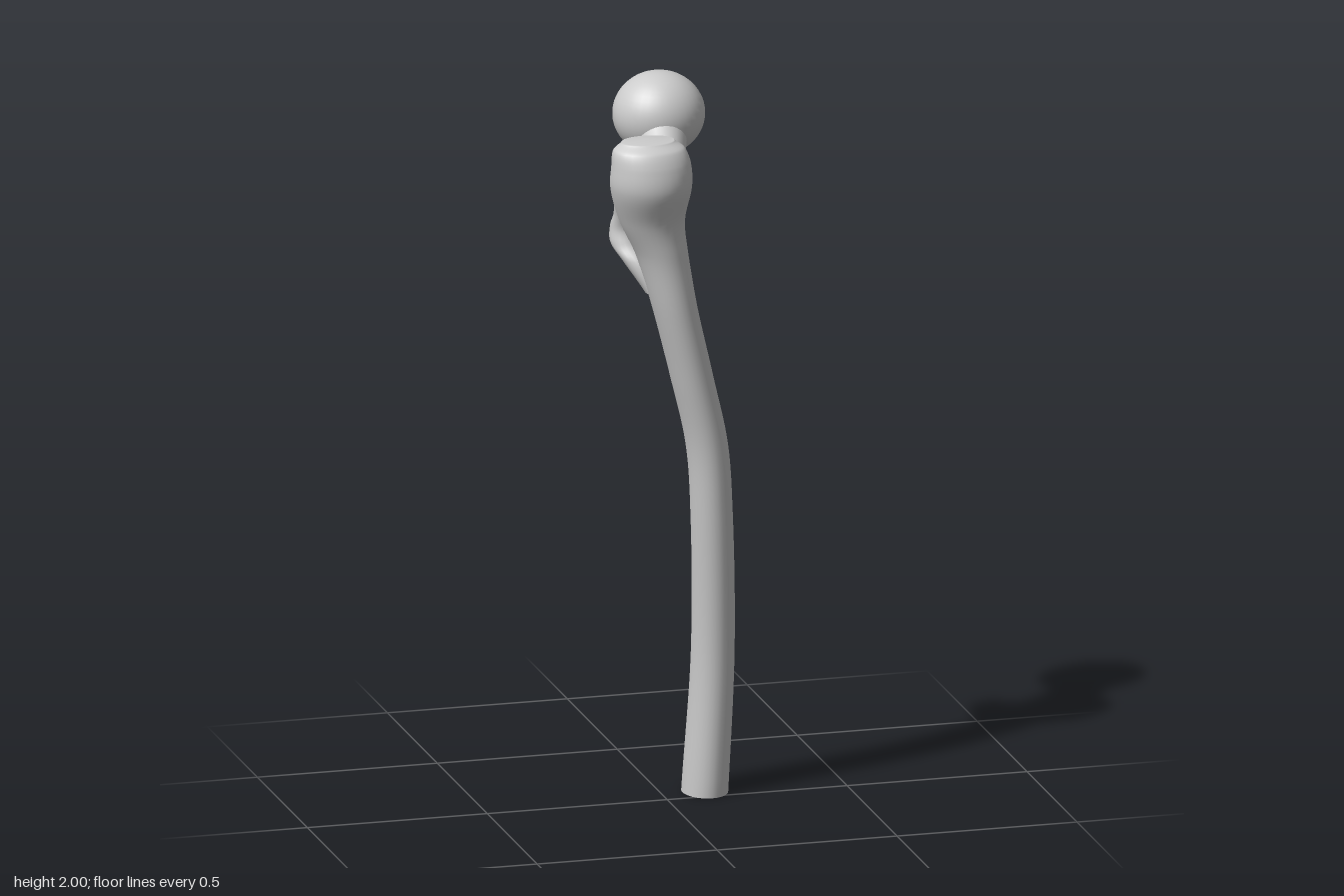
import * as THREE from 'three';

const bone = new THREE.MeshStandardMaterial({ color: 0xcccccc });

// Smooth closed body through elliptical rings, listed from bottom to top.
// Row: [x, y, z, radiusX, radiusZ, tilt] - tilt leans the ring up towards the front.
function loft(name, rows, steps, sides = 28) {
  const track = (i, j, k) => new THREE.CatmullRomCurve3(
    rows.map(r => new THREE.Vector3(r[i] ?? 0, r[j] ?? 0, r[k] ?? 0)), false, 'centripetal');
  const spine = track(0, 1, 2);
  const pos = [], index = [];
  const ring = (t) => {
    // interpolate radii linearly with smoothing inside each span, in step with the spine
    const f = t * (rows.length - 1), i = Math.min(Math.floor(f), rows.length - 2), w = f - i;
    const mix = k => {
      const at = n => rows[Math.max(0, Math.min(rows.length - 1, n))][k] ?? 0;
      const a = at(i), b = at(i + 1), ma = (b - at(i - 1)) / 2, mb = (at(i + 2) - a) / 2;
      const w2 = w * w, w3 = w2 * w;
      return (2 * w3 - 3 * w2 + 1) * a + (w3 - 2 * w2 + w) * ma + (3 * w2 - 2 * w3) * b + (w3 - w2) * mb;
    };
    const c = spine.getPoint(t), rx = mix(3), rz = mix(4), tilt = mix(5);
    for (let s = 0; s < sides; s++) {
      const a = s / sides * Math.PI * 2, d = Math.sin(a) * rz;
      pos.push(c.x + Math.cos(a) * rx, c.y + d * Math.sin(tilt), c.z + d * Math.cos(tilt));
    }
    return c;
  };
  for (let n = 0; n <= steps; n++) ring(n / steps);
  for (let n = 0; n < steps; n++) for (let s = 0; s < sides; s++) {
    const a = n * sides + s, b = n * sides + (s + 1) % sides;
    index.push(a, a + sides, b, b, a + sides, b + sides);
  }
  // rounded top: shares its rim with the wall
  const top = spine.getPoint(1), tip = pos.length / 3, rim = steps * sides;
  pos.push(top.x, top.y + 0.004, top.z);
  for (let s = 0; s < sides; s++) index.push(rim + s, tip, rim + (s + 1) % sides);
  // flat bottom: own rim, so the cut edge stays sharp
  const base = pos.length / 3, foot = ring(0), mid = pos.length / 3;
  pos.push(foot.x, foot.y, foot.z);
  for (let s = 0; s < sides; s++) index.push(base + s, base + (s + 1) % sides, mid);

  const g = new THREE.BufferGeometry();
  g.setAttribute('position', new THREE.Float32BufferAttribute(pos, 3));
  g.setIndex(index);
  g.computeVertexNormals();
  const mesh = new THREE.Mesh(g, bone);
  mesh.name = name;
  return mesh;
}

export function createModel() {
  const model = new THREE.Group();
  model.name = 'thighBone';

  // Curved shaft swelling into the large outer knob
  model.add(loft('shaftAndGreaterKnob', [
    [0.12, 0, -0.057, 0.062, 0.078],
    [0.132, 0.4, -0.02, 0.058, 0.07],
    [0.115, 0.8, 0.03, 0.056, 0.07],
    [0.096, 1.0, 0.05, 0.056, 0.072],
    [0.048, 1.2, 0.07, 0.057, 0.075],
    [-0.004, 1.4, 0.09, 0.06, 0.075],
    [-0.04, 1.55, 0.093, 0.07, 0.08],
    [-0.07, 1.65, 0.103, 0.088, 0.085],
    [-0.08, 1.75, 0.128, 0.11, 0.1],
    [-0.083, 1.82, 0.138, 0.108, 0.086],
    [-0.088, 1.86, 0.135, 0.098, 0.072],
    [-0.09, 1.882, 0.13, 0.072, 0.048],
  ], 88));

  // Neck leaning back from the knob to the ball
  model.add(loft('neck', [
    [-0.04, 1.58, 0.075, 0.06, 0.07, 0.2],
    [-0.035, 1.67, 0.06, 0.066, 0.088, 0.5],
    [-0.025, 1.74, 0.035, 0.066, 0.09, 0.75],
    [-0.015, 1.79, 0.002, 0.065, 0.075, 0.8],
    [-0.003, 1.83, -0.045, 0.07, 0.075, 0.8],
    [0.005, 1.865, -0.085, 0.08, 0.08, 0.8],
  ], 30));

  // Small rear knob with the ridge running up to the large knob
  model.add(loft('lesserKnobAndRidge', [
    [-0.05, 1.44, 0.07, 0.03, 0.035],
    [-0.092, 1.525, 0.03, 0.042, 0.042],
    [-0.113, 1.565, -0.008, 0.042, 0.047],
    [-0.115, 1.605, -0.015, 0.038, 0.045],
    [-0.118, 1.65, 0.012, 0.032, 0.042],
    [-0.13, 1.72, 0.058, 0.034, 0.045],
    [-0.135, 1.79, 0.092, 0.038, 0.04],
    [-0.13, 1.855, 0.105, 0.03, 0.03],
  ], 42, 20));

  // Ball of the joint
  const ball = new THREE.Mesh(new THREE.SphereGeometry(1, 36, 24), bone);
  ball.name = 'jointBall';
  ball.scale.set(0.125, 0.115, 0.12);
  ball.position.set(0.007, 1.885, -0.11);
  model.add(ball);

  return model;
}
